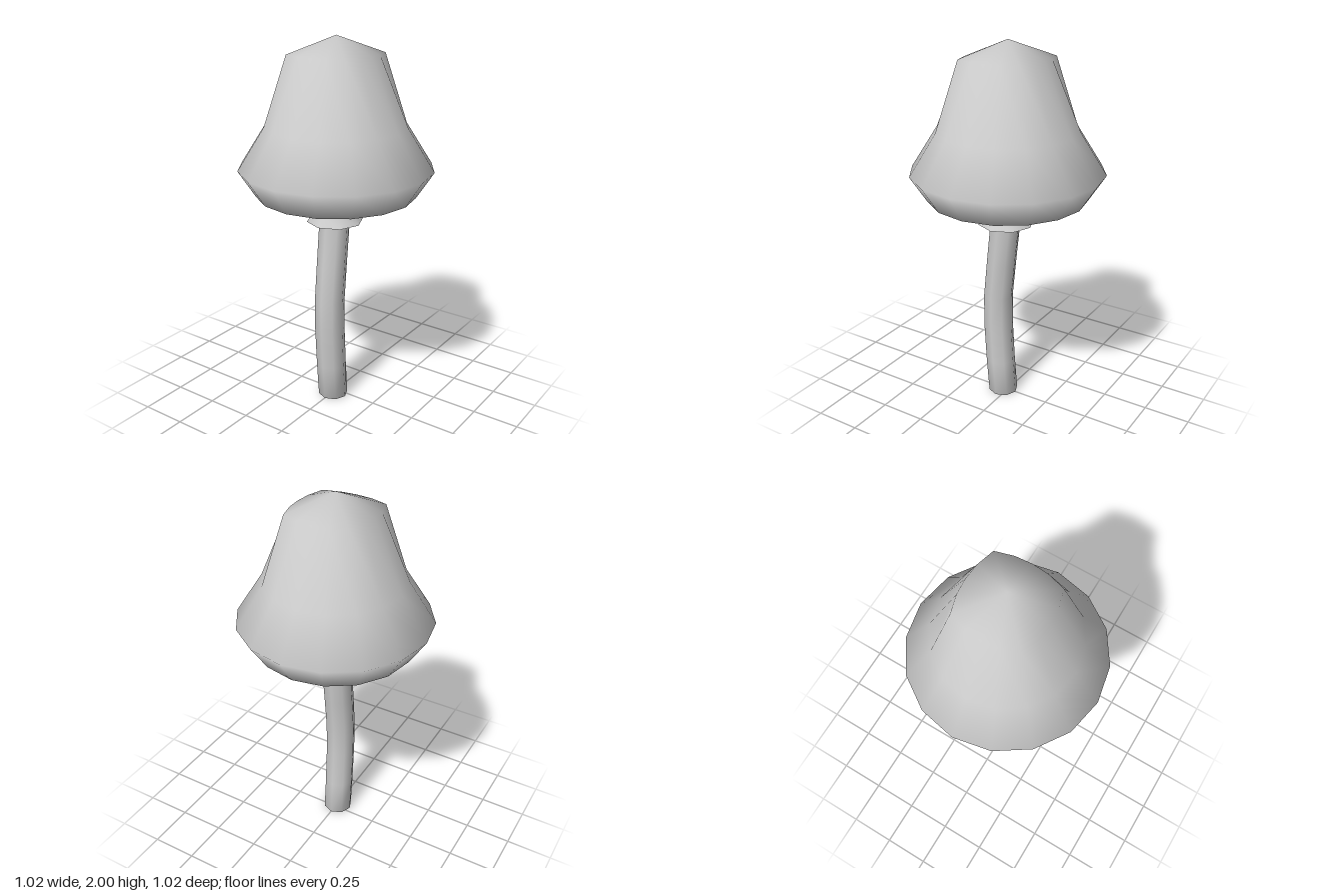
import * as THREE from 'three';
import { mergeVertices } from 'three/addons/utils/BufferGeometryUtils.js';

const grey = new THREE.MeshStandardMaterial({ color: 0xcccccc });
const greyThin = new THREE.MeshStandardMaterial({ color: 0xcccccc, side: THREE.DoubleSide });

// Weld seams so that the shading is smooth all round
function smooth(geometry) {
  geometry.deleteAttribute('uv');
  geometry.deleteAttribute('normal');
  const welded = mergeVertices(geometry, 1e-4);
  welded.computeVertexNormals();
  return welded;
}

function lathe(profile, sides) {
  return new THREE.LatheGeometry(profile.map(([r, y]) => new THREE.Vector2(r, y)), sides);
}

function part(name, geometry, material) {
  const mesh = new THREE.Mesh(geometry, material);
  mesh.name = name;
  return mesh;
}

// Centre line of the bent stem: [height, z offset]
const bend = [[0, 0.03], [0.2, 0.047], [0.42, 0.06], [0.6, 0.06], [0.8, 0.04], [1.04, 0.014], [1.19, 0.01], [1.32, 0.005]];

function createStem() {
  const geometry = new THREE.CylinderGeometry(0.082, 0.082, 1, 8, bend.length - 1);
  const p = geometry.attributes.position;
  for (let i = 0; i < p.count; i++) {
    const [y, z] = bend[Math.round((p.getY(i) + 0.5) * (bend.length - 1))];
    p.setY(i, y);
    p.setZ(i, p.getZ(i) + z);
  }
  return part('stem', smooth(geometry), grey);
}

function createCap() {
  // From the hollow underside, round the rim, up to the tip
  const geometry = lathe([
    [0, 1.32], [0.2, 1.29], [0.36, 1.23], [0.42, 1.19],
    [0.51, 1.33], [0.37, 1.55], [0.21, 1.91], [0, 2],
  ], 16);
  // Square off the shoulder ring near the tip
  const p = geometry.attributes.position;
  for (let i = 0; i < p.count; i++) {
    if (Math.abs(p.getY(i) - 1.91) > 0.01) continue;
    const angle = Math.atan2(p.getX(i), p.getZ(i));
    const k = 1 + 0.19 * Math.sin(2 * angle) ** 4;
    p.setX(i, p.getX(i) * k);
    p.setZ(i, p.getZ(i) * k);
  }
  return part('cap', smooth(geometry), grey);
}

function createSkirt() {
  // Flared collar hanging round the upper stem
  const geometry = lathe([[0.15, 1.04], [0.112, 1.095], [0.09, 1.15], [0.083, 1.2]], 8);
  const skirt = part('skirt', smooth(geometry), greyThin);
  skirt.position.z = 0.012;
  return skirt;
}

export function createModel() {
  const model = new THREE.Group();
  model.name = 'mushroom';
  model.add(createStem(), createSkirt(), createCap());
  return model;
}
